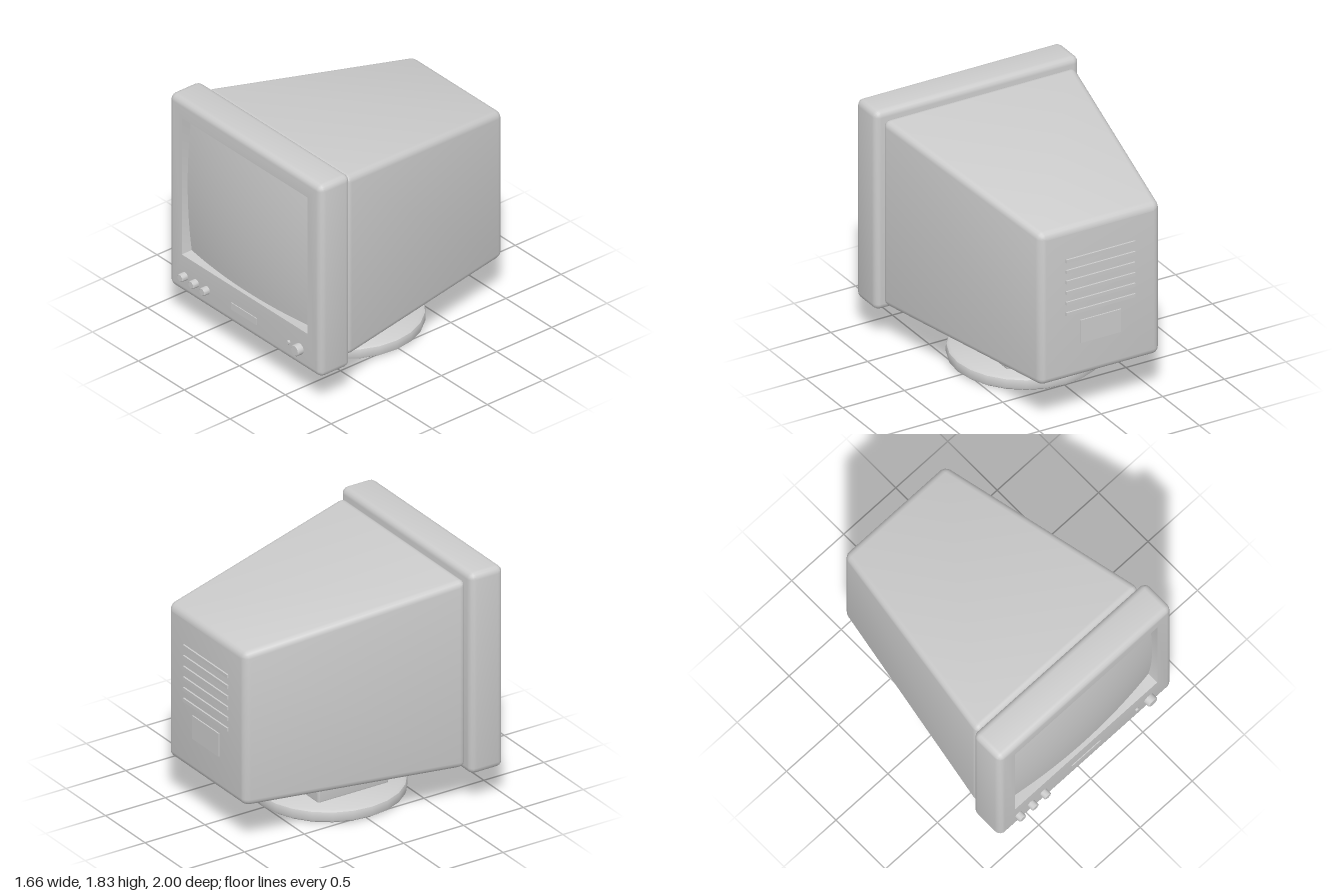
import * as THREE from 'three';
import { toCreasedNormals } from 'three/addons/utils/BufferGeometryUtils.js';

const STEPS = 4; // segments per rounded edge

// Rounded rectangle, counter-clockwise seen from +z
function ring(z, hw, y0, y1, r) {
  const pts = [];
  const corners = [[hw - r, y1 - r], [-hw + r, y1 - r], [-hw + r, y0 + r], [hw - r, y0 + r]];
  corners.forEach(([cx, cy], q) => {
    for (let i = 0; i <= STEPS; i++) {
      const a = (q + i / STEPS) * Math.PI / 2;
      pts.push([cx + r * Math.cos(a), cy + r * Math.sin(a), z]);
    }
  });
  return pts;
}

// Skin over rings running from back to front
function loft(rings, capFront) {
  const n = rings[0].length, index = [], last = (rings.length - 1) * n;
  for (let k = 0; k < rings.length - 1; k++) {
    for (let j = 0; j < n; j++) {
      const a = k * n + j, b = k * n + (j + 1) % n;
      index.push(a, b, b + n, a, b + n, a + n);
    }
  }
  for (let j = 1; j < n - 1; j++) {
    index.push(0, j + 1, j);
    if (capFront) index.push(last, last + j, last + j + 1);
  }
  const geo = new THREE.BufferGeometry();
  geo.setAttribute('position', new THREE.Float32BufferAttribute(rings.flat(2), 3));
  geo.setIndex(index);
  return toCreasedNormals(geo, Math.PI / 6);
}

// Tapered box with rounded edges; sections are [z, halfWidth, bottom, top]
function taperedBox(back, front, bevel, extraRings = []) {
  const section = (z, inset) => {
    const t = (z - back[0]) / (front[0] - back[0]);
    const [hw, y0, y1] = [1, 2, 3].map(i => THREE.MathUtils.lerp(back[i], front[i], t));
    return ring(z, hw - inset, y0 + inset, y1 - inset, Math.max(bevel - inset, 0.001));
  };
  const rings = [];
  for (const end of [0, 1]) {
    for (let i = 0; i <= STEPS; i++) {
      const a = (end ? i : STEPS - i) / STEPS * Math.PI / 2;
      const depth = bevel * (1 - Math.sin(a));
      rings.push(section(end ? front[0] - depth : back[0] + depth, bevel * (1 - Math.cos(a))));
    }
  }
  return loft([...rings, ...extraRings], extraRings.length === 0);
}

export function createModel() {
  const group = new THREE.Group();
  const grey = new THREE.MeshStandardMaterial({ color: 0xcccccc });
  grey.name = 'grey plastic';

  const add = (name, geo, x = 0, y = 0, z = 0) => {
    const mesh = new THREE.Mesh(geo, grey);
    mesh.name = name;
    mesh.position.set(x, y, z);
    group.add(mesh);
    return mesh;
  };

  // Tapered rear housing
  add('housing', taperedBox([-0.987, 0.485, 0.337, 1.53], [0.672, 0.783, 0.308, 1.777], 0.05));

  // Front bezel with the screen opening
  const hole = [0.685, 0.568, 1.685];
  add('bezel', taperedBox([0.676, 0.829, 0.26, 1.83], [0.952, 0.829, 0.26, 1.83], 0.05,
    [ring(0.952, ...hole, 0.001), ring(0.78, ...hole, 0.001)]));

  // Bulging picture tube
  const screen = new THREE.PlaneGeometry(1.37, 1.117, 24, 20);
  const p = screen.attributes.position;
  for (let i = 0; i < p.count; i++) p.setZ(i, -0.12 * (p.getX(i) ** 2 + p.getY(i) ** 2));
  screen.computeVertexNormals();
  add('screen', screen, 0, 1.1265, 0.956);

  // Buttons, knob and indicator
  const knob = (name, x, r, tip) => {
    const b = Math.min(0.006, r * 0.3), len = tip - 0.94;
    const profile = [[r, 0], [r, len - b], [r - b, len], [0, len]].map(q => new THREE.Vector2(...q));
    const geo = toCreasedNormals(new THREE.LatheGeometry(profile, 20), Math.PI / 6);
    add(name, geo, x, 0.408, 0.94).rotation.x = Math.PI / 2;
  };
  [-0.65, -0.53, -0.41].forEach(x => knob('button', x, 0.031, 1));
  knob('powerKnob', 0.6, 0.043, 1);
  knob('indicator', 0.485, 0.015, 0.967);
  add('frontPlate', new THREE.BoxGeometry(0.276, 0.054, 0.009), -0.002, 0.407, 0.954);

  // Rear vent slats and connector plate
  for (let i = 0; i < 6; i++) {
    add('ventSlat', new THREE.BoxGeometry(0.56, 0.026, 0.03), 0, 1.277 - i * 0.0835, -0.985);
  }
  add('rearPlate', new THREE.BoxGeometry(0.33, 0.18, 0.024), 0, 0.692, -0.985);

  // Neck and round foot
  add('neck', taperedBox([-0.265, 0.322, 0.09, 0.36], [0.327, 0.322, 0.09, 0.36], 0.018));
  const foot = [[0, 0], [0.53, 0], [0.55, 0.014], [0.555, 0.03], [0.555, 0.07],
    [0.55, 0.086], [0.53, 0.1], [0, 0.1]].map(q => new THREE.Vector2(...q));
  add('foot', toCreasedNormals(new THREE.LatheGeometry(foot, 24), Math.PI / 5), 0, 0, 0.03);

  return group;
}
